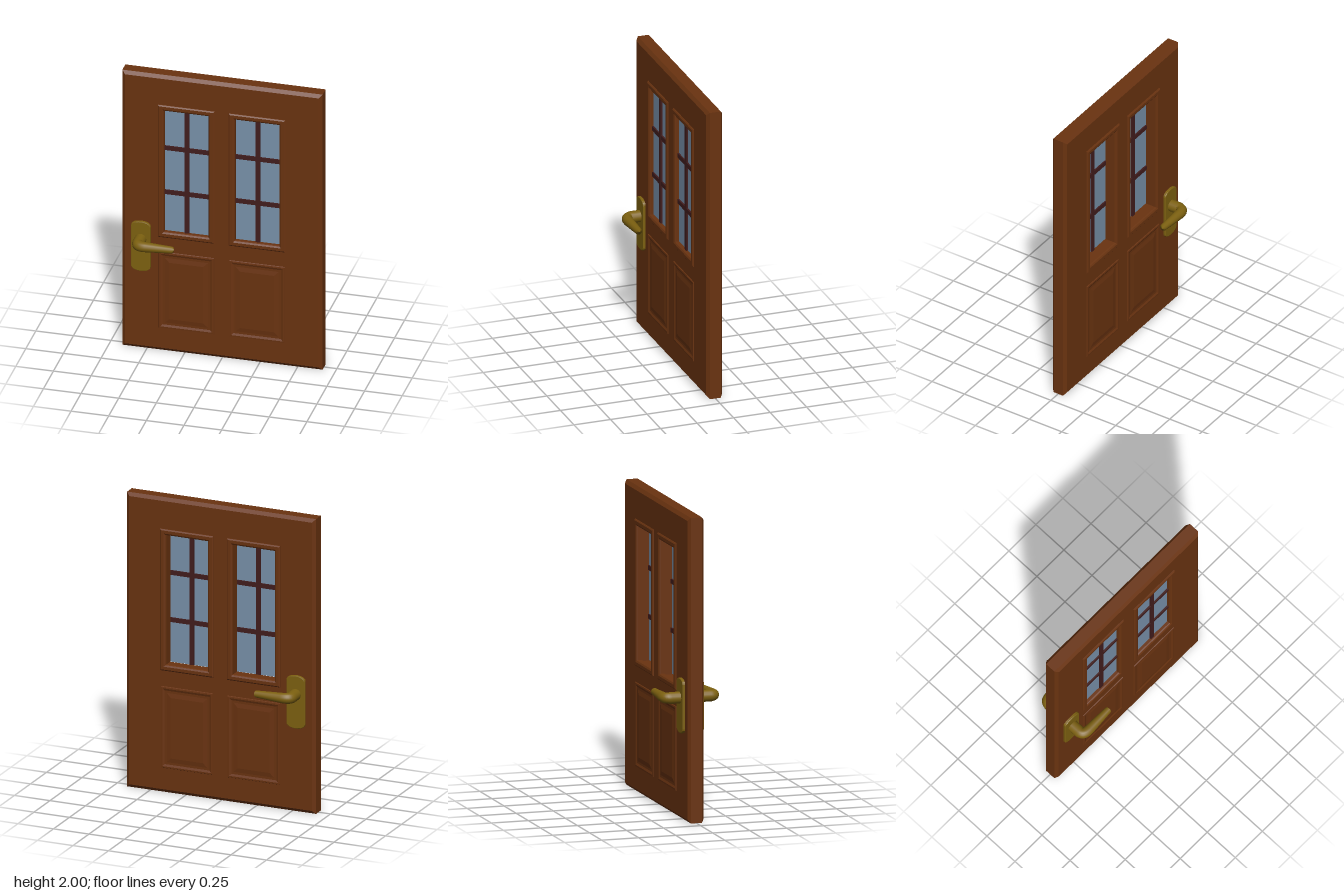
import * as THREE from 'three';

const mat = (name, color) => {
  const m = new THREE.MeshStandardMaterial({ color });
  m.name = name;
  return m;
};

function add(parent, name, geometry, material, x = 0, y = 0, z = 0) {
  const mesh = new THREE.Mesh(geometry, material);
  mesh.name = name;
  mesh.position.set(x, y, z);
  parent.add(mesh);
  return mesh;
}

function rectPath(path, x0, x1, y0, y1) {
  path.moveTo(x0, y0).lineTo(x1, y0).lineTo(x1, y1).lineTo(x0, y1).closePath();
  return path;
}

// Mitred rectangular moulding: profile is a list of [inset, height], side is +1 front or -1 back
function moulding([x0, x1, y0, y1], profile, side, filled) {
  const rings = profile.map(([i, z]) => [
    [x0 + i, y0 + i, z * side], [x1 - i, y0 + i, z * side],
    [x1 - i, y1 - i, z * side], [x0 + i, y1 - i, z * side],
  ]);
  const pos = [];
  const quad = (a, b, c, d) => {
    const corners = side > 0 ? [a, b, c, a, c, d] : [a, c, b, a, d, c];
    corners.forEach((p) => pos.push(...p));
  };
  for (let r = 0; r < rings.length - 1; r++) {
    for (let k = 0; k < 4; k++) {
      const n = (k + 1) % 4;
      quad(rings[r][k], rings[r][n], rings[r + 1][n], rings[r + 1][k]);
    }
  }
  if (filled) quad(...rings[rings.length - 1]);
  const g = new THREE.BufferGeometry();
  g.setAttribute('position', new THREE.Float32BufferAttribute(pos, 3));
  g.computeVertexNormals();
  return g;
}

// Bent lever: a tube swept out from the door and along it, tapering to a closed tip
function leverGeometry(side) {
  const v = (x, z) => new THREE.Vector3(x, 0.803, z * side);
  const path = new THREE.CurvePath();
  path.add(new THREE.LineCurve3(v(-0.535, 0.06), v(-0.535, 0.135)));
  path.add(new THREE.QuadraticBezierCurve3(v(-0.535, 0.135), v(-0.535, 0.17), v(-0.48, 0.17)));
  path.add(new THREE.LineCurve3(v(-0.48, 0.17), v(-0.287, 0.165)));
  const N = 48, R = 16;
  const g = new THREE.TubeGeometry(path, N, 1, R, false);
  const p = g.attributes.position, q = new THREE.Vector3();
  for (let i = 0; i <= N; i++) {
    const t = i / N, c = path.getPointAt(t);
    let r = t < 0.25 ? 0.039 : THREE.MathUtils.lerp(0.037, 0.022, (t - 0.25) / 0.75);
    if (i === N - 1) r *= 0.85;
    if (i === N) r = 0.0001;
    for (let j = 0; j <= R; j++) {
      const k = i * (R + 1) + j;
      q.fromBufferAttribute(p, k).sub(c).multiplyScalar(r).add(c);
      p.setXYZ(k, q.x, q.y, q.z);
    }
  }
  return g;
}

// Escutcheon plate with rounded corners and gently bowed ends
function plateGeometry() {
  const s = new THREE.Shape();
  const w = 0.06, h = 0.145;
  s.moveTo(-w, -h);
  s.bezierCurveTo(-w, -h - 0.04, w, -h - 0.04, w, -h);
  s.lineTo(w, h);
  s.bezierCurveTo(w, h + 0.04, -w, h + 0.04, -w, h);
  s.closePath();
  return new THREE.ExtrudeGeometry(s, {
    depth: 0.014, bevelEnabled: true, bevelSize: 0.005, bevelThickness: 0.005,
    bevelSegments: 2, curveSegments: 12,
  });
}

export function createModel() {
  const wood = mat('wood', 0x6a3310);
  const dark = mat('dark wood', 0x421d1d);
  const glass = mat('glass', 0x7891aa);
  const brass = mat('brass', 0x7d6110);

  const door = new THREE.Group();
  door.name = 'door';

  // Slab with bevelled edges and two window openings
  const slab = rectPath(new THREE.Shape(), -0.665, 0.665, 0, 2);
  for (const s of [-1, 1]) {
    const e = [0.075 * s, 0.395 * s].sort((a, b) => a - b);
    slab.holes.push(rectPath(new THREE.Path(), e[0], e[1], 0.86, 1.76));
  }
  const slabGeometry = new THREE.ExtrudeGeometry(slab, {
    depth: 0.074, bevelEnabled: true, bevelSize: 0.022, bevelOffset: -0.022,
    bevelThickness: 0.018, bevelSegments: 1,
  });
  add(door, 'slab', slabGeometry, wood, 0, 0, -0.037);

  const frameProfile = [
    [0, 0.05], [0, 0.06], [0.008, 0.066], [0.028, 0.066], [0.038, 0.06], [0.041, 0.052], [0.041, 0.028],
  ];
  const panelProfile = [
    [0, 0.05], [0.006, 0.06], [0.016, 0.061], [0.03, 0.0555], [0.045, 0.0555], [0.075, 0.06],
  ];

  for (const s of [-1, 1]) {
    const cx = 0.235 * s;
    const x0 = cx - 0.188, x1 = cx + 0.188;

    // Window frames and raised lower panels on both faces
    for (const side of [1, -1]) {
      add(door, 'windowFrame', moulding([x0, x1, 0.83, 1.79], frameProfile, side, false), wood);
      add(door, 'lowerPanel', moulding([x0, x1, 0.165, 0.725], panelProfile, side, true), wood);
    }

    // Glazing and bars
    const win = new THREE.Group();
    win.name = 'window';
    win.position.set(cx, 1.31, 0.03);
    door.add(win);
    add(win, 'glass', new THREE.BoxGeometry(0.31, 0.89, 0.008), glass);
    add(win, 'verticalBar', new THREE.BoxGeometry(0.03, 0.885, 0.03), dark);
    for (const y of [-0.157, 0.163]) {
      add(win, 'horizontalBar', new THREE.BoxGeometry(0.3, 0.03, 0.029), dark, 0, y);
    }
  }

  // Handles on both faces
  for (const side of [1, -1]) {
    const handle = new THREE.Group();
    handle.name = side > 0 ? 'frontHandle' : 'backHandle';
    door.add(handle);
    add(handle, 'plate', plateGeometry(), brass, -0.535, 0.75, side * 0.061 - 0.007);
    add(handle, 'lever', leverGeometry(side), brass);
  }
  return door;
}
